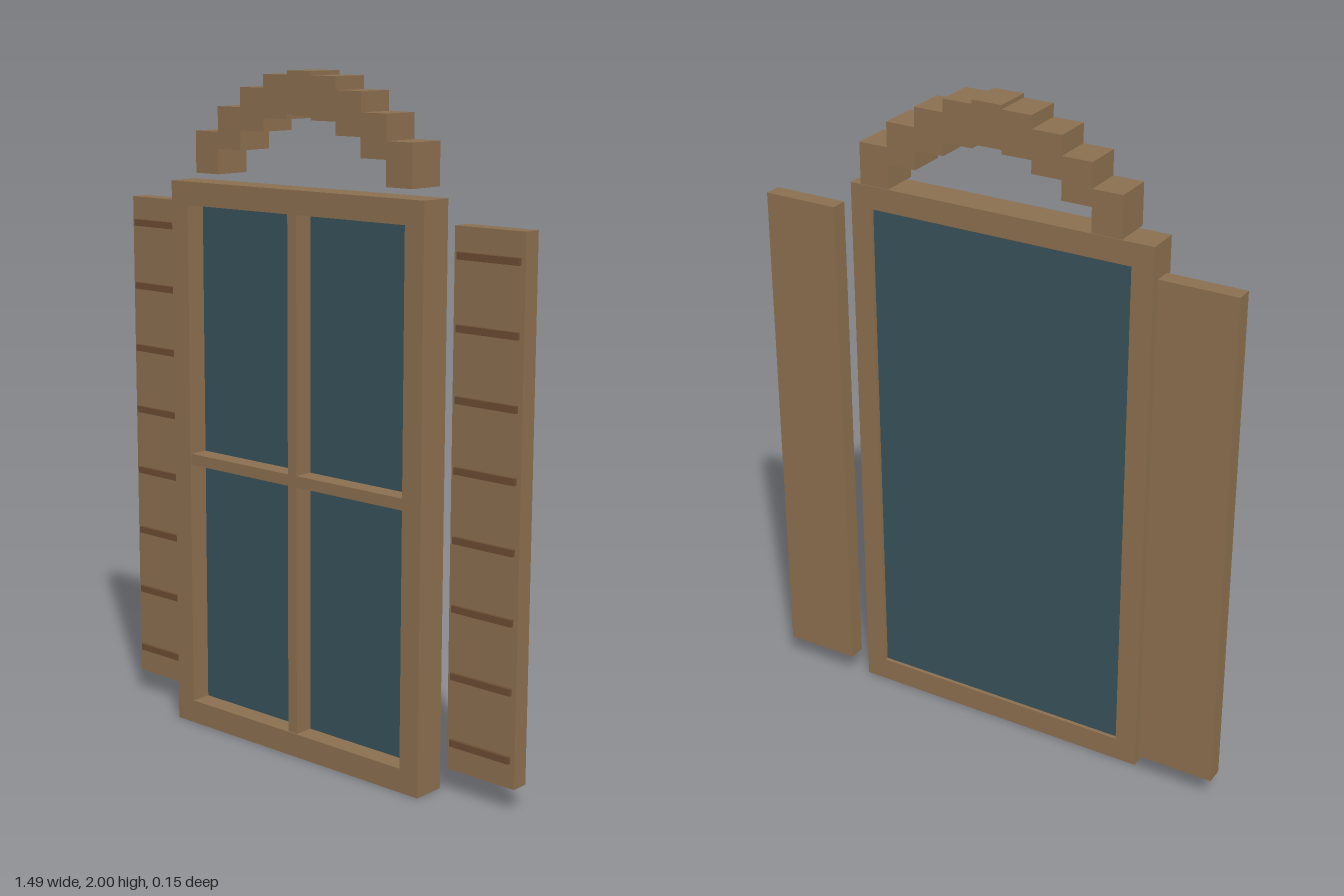
import * as THREE from 'three';

const wood = new THREE.MeshStandardMaterial({ color: 0x8b6f4f });
const darkWood = new THREE.MeshStandardMaterial({ color: 0x6b4c33 });
const glassBlue = new THREE.MeshStandardMaterial({ color: 0x38525a });

// Box given by its limits on each axis
function addBox(parent, name, material, [x0, x1], [y0, y1], [z0, z1]) {
  const mesh = new THREE.Mesh(new THREE.BoxGeometry(x1 - x0, y1 - y0, z1 - z0), material);
  mesh.position.set((x0 + x1) / 2, (y0 + y1) / 2, (z0 + z1) / 2);
  mesh.name = name;
  parent.add(mesh);
  return mesh;
}

function rectangle(PathType, x0, y0, x1, y1) {
  const path = new PathType();
  path.moveTo(x0, y0);
  path.lineTo(x1, y0);
  path.lineTo(x1, y1);
  path.lineTo(x0, y1);
  path.closePath();
  return path;
}

// Outer frame with one opening, glass pane and crossing glazing bars
function createWindow() {
  const group = new THREE.Group();
  group.name = 'window';
  const outline = rectangle(THREE.Shape, -0.48, 0, 0.48, 1.673);
  outline.holes.push(rectangle(THREE.Path, -0.414, 0.071, 0.414, 1.604));
  const frame = new THREE.Mesh(
    new THREE.ExtrudeGeometry(outline, { depth: 0.101, bevelEnabled: false }), wood);
  frame.position.z = -0.025;
  frame.name = 'frame';
  group.add(frame);

  addBox(group, 'glass', glassBlue, [-0.414, 0.414], [0.071, 1.604], [-0.013, 0.013]);
  const barDepth = [0.013, 0.072];
  addBox(group, 'verticalBar', wood, [-0.017, 0.017], [0.071, 1.604], barDepth);
  for (const [x0, x1] of [[-0.414, -0.017], [0.017, 0.414]]) {
    addBox(group, 'horizontalBar', wood, [x0, x1], [0.82, 0.854], barDepth);
  }
  return group;
}

// Shutter board with a ladder of raised slats on its front
function createShutter(name, centreX) {
  const group = new THREE.Group();
  group.name = name;
  addBox(group, 'board', wood, [-0.117, 0.117], [0.072, 1.604], [-0.067, -0.014]);
  for (let i = 0; i < 8; i++) {
    const y = 0.155 + i * 0.1957;
    addBox(group, 'slat', darkWood, [-0.102, 0.102], [y - 0.01, y + 0.01], [-0.014, -0.003]);
  }
  group.position.x = centreX;
  return group;
}

// Stepped arch of nine equal blocks above the window
function createArch() {
  const group = new THREE.Group();
  group.name = 'arch';
  const tops = [2, 1.988, 1.95, 1.893, 1.82];
  const width = 0.0911;
  for (let i = -4; i <= 4; i++) {
    const top = tops[Math.abs(i)];
    addBox(group, 'archBlock', wood,
      [(i - 0.5) * width, (i + 0.5) * width], [top - 0.123, top], [-0.076, 0.042]);
  }
  return group;
}

export function createModel() {
  const model = new THREE.Group();
  model.name = 'shutteredWindow';
  model.add(
    createWindow(),
    createShutter('leftShutter', 0.63),
    createShutter('rightShutter', -0.63),
    createArch());
  return model;
}
